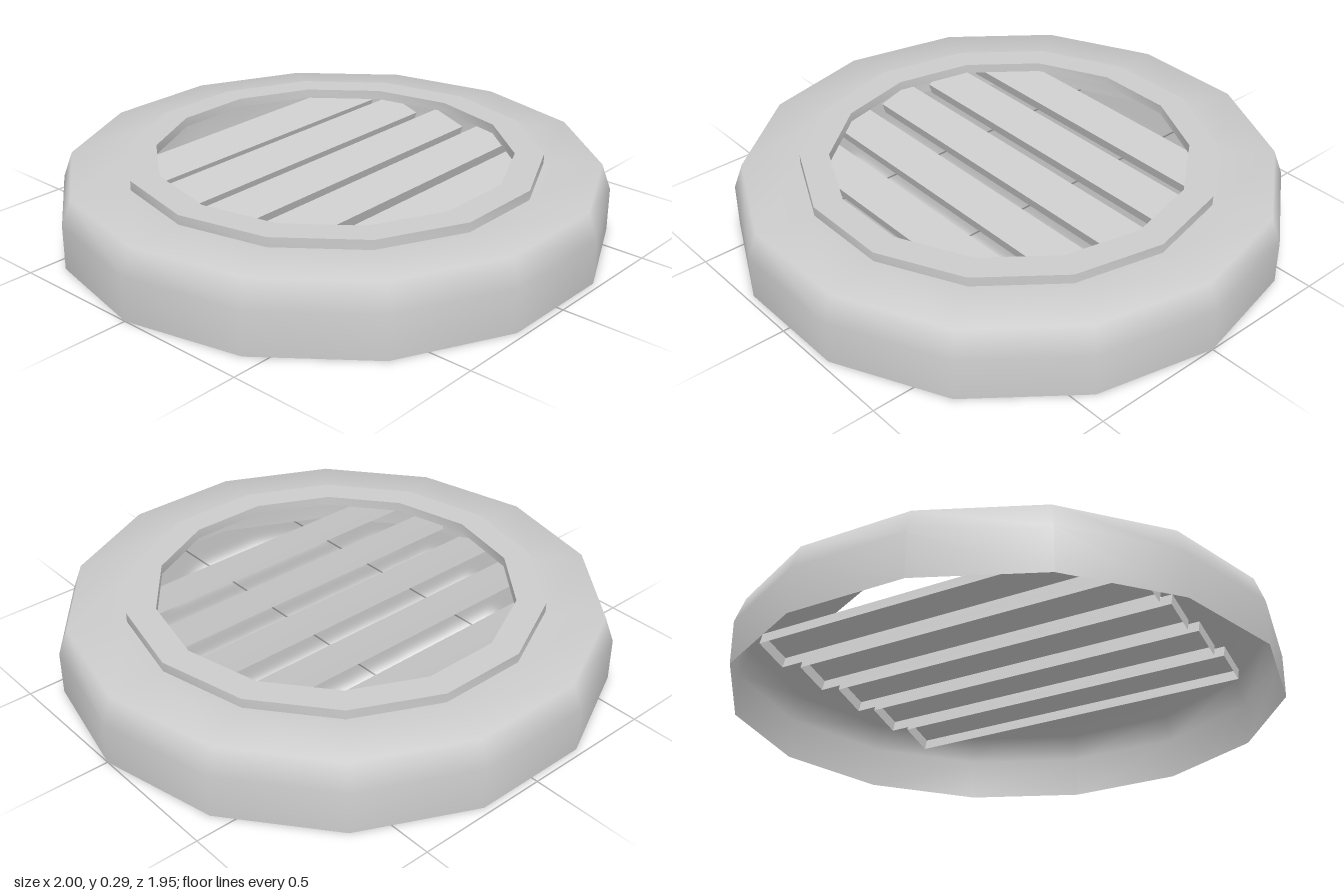
import * as THREE from 'three';
import { toCreasedNormals } from 'three/addons/utils/BufferGeometryUtils.js';

const SIDES = 14;
const material = new THREE.MeshStandardMaterial({ color: 0xcccccc, side: THREE.DoubleSide });

// Revolve [radius, height] points, with a corner on the x axis
function revolve(points) {
  const profile = points.map(([r, y]) => new THREE.Vector2(r, y));
  return new THREE.LatheGeometry(profile, SIDES, Math.PI / 2);
}

function addMesh(parent, name, geometry) {
  const mesh = new THREE.Mesh(geometry, material);
  mesh.name = name;
  parent.add(mesh);
  return mesh;
}

// Box without its underside
function openBox(width, height, depth) {
  const box = new THREE.BoxGeometry(width, height, depth);
  const index = Array.from(box.index.array);
  index.splice(18, 6);
  box.setIndex(index);
  return box;
}

export function createModel() {
  const vent = new THREE.Group();
  vent.name = 'roundVent';

  // Hollow outer housing, open at the bottom, softly shaded over the chamfer
  addMesh(vent, 'housing', revolve([[1, 0], [1, 0.16], [0.965, 0.255], [0.755, 0.255]]));

  // Raised rim around the opening
  const rim = revolve([[0.65, 0.255], [0.755, 0.255], [0.755, 0.29], [0.65, 0.29], [0.65, 0.255]]);
  addMesh(vent, 'rim', toCreasedNormals(rim, Math.PI / 5));

  // Tilted louvre slats, lower towards the front
  const slats = new THREE.Group();
  slats.name = 'slats';
  vent.add(slats);
  const slatGeometry = openBox(1.4, 0.045, 0.14);
  for (let i = 0; i < 5; i++) {
    const slat = addMesh(slats, 'slat', slatGeometry);
    slat.position.set(0, 0.19, -0.486 + i * 0.235);
    slat.rotation.x = THREE.MathUtils.degToRad(17);
  }
  return vent;
}
